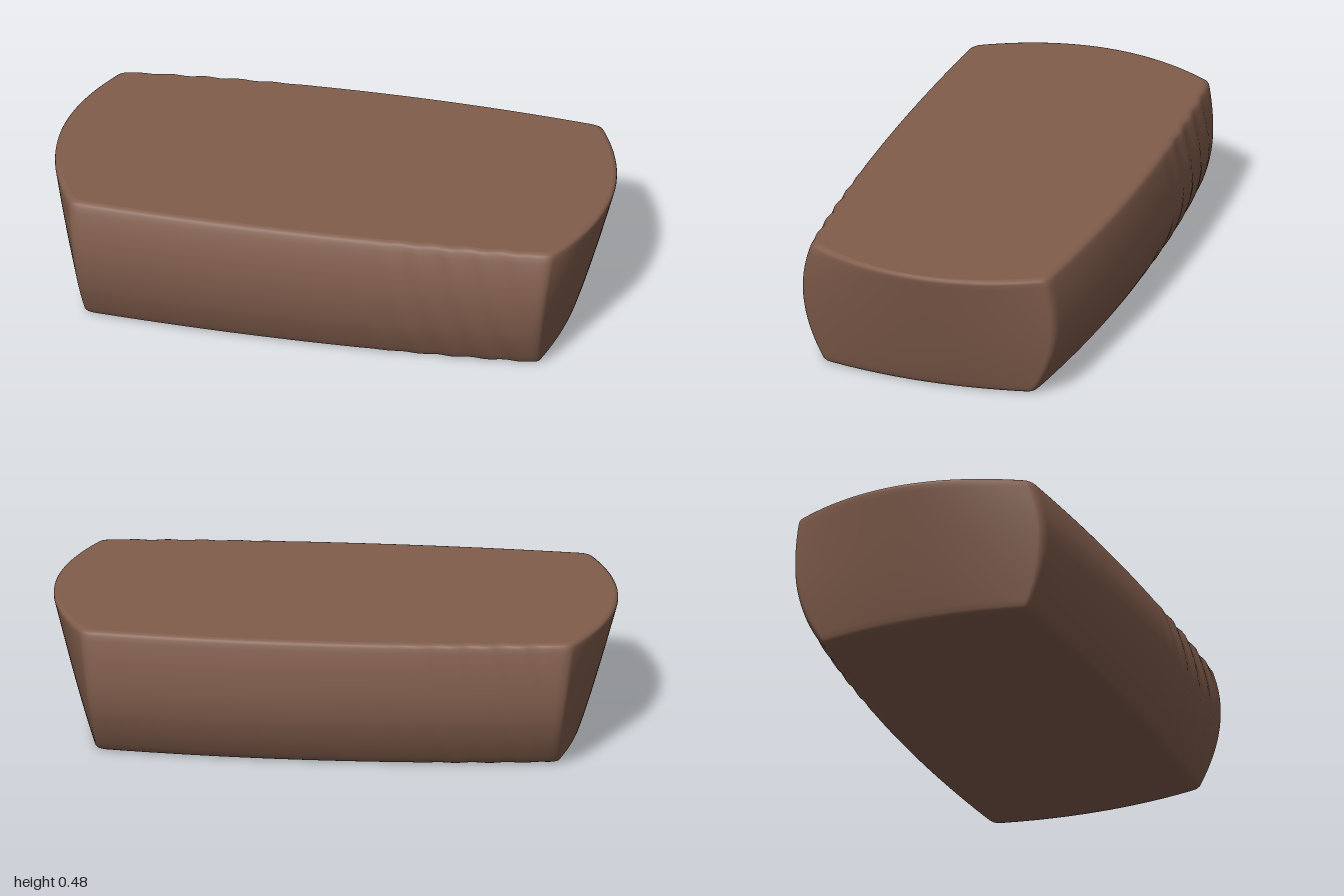
import * as THREE from 'three';

const H = 0.48;      // block height
const SIDE = 90;     // samples along each wall
const CORNER = 6;    // samples round each corner
const ROUND = 0.02;  // share of a wall used by the corner rounding

// Wall points at height y, t from 0 to 1, counterclockwise seen from above
function walls(y, inset) {
  const k = y / H;
  const low = ((0.28 - Math.min(y, 0.28)) / 0.28) ** 2;
  const high = ((Math.max(y, 0.28) - 0.28) / 0.2) ** 2;
  const front = 0.52 - 0.075 * low - 0.042 * high - inset;
  const back = 0.515 - 0.095 * low - 0.025 * high - inset;
  const endX = 0.86 + 0.14 * Math.pow(k, 0.9) - inset;
  const cornerX = 0.815 + 0.05 * k - inset;
  const frontZ = front - 0.035, backZ = back - 0.05;
  const bow = s => 1 - s * s;
  // Shallow tool ripples, fading in toward one end of the wall
  const ripple = (x, dir) => {
    const fade = THREE.MathUtils.smoothstep(x * dir, 0.1, 0.5) * (1 - THREE.MathUtils.smoothstep(x * dir, 0.72, 0.84));
    return 0.004 * fade * Math.sin(52 * x * dir + 14 * y);
  };
  const end = (t, dir) => {
    const s = 2 * t - 1;
    const z = THREE.MathUtils.lerp(frontZ, -backZ, dir > 0 ? t : 1 - t);
    return [dir * (cornerX + (endX - cornerX) * bow(s)), z];
  };
  return [
    t => {
      const s = 2 * t - 1, x = s * cornerX;
      return [x, frontZ + (front - frontZ) * bow(s) + ripple(x, 1)];
    },
    t => end(t, 1),
    t => {
      const s = 1 - 2 * t, x = s * cornerX;
      return [x, -backZ - (back - backZ) * bow(s) + ripple(x, -1)];
    },
    t => end(t, -1),
  ];
}

// Closed outline with softened corners
function outline(y, inset) {
  const w = walls(y, inset), pts = [];
  w.forEach((wall, i) => {
    for (let j = 0; j <= SIDE; j++) pts.push(wall(ROUND + (1 - 2 * ROUND) * j / SIDE));
    const a = wall(1 - ROUND), c = wall(1), b = w[(i + 1) % 4](ROUND);
    for (let j = 1; j < CORNER; j++) {
      const t = j / CORNER, u = 1 - t;
      pts.push([0, 1].map(n => u * u * a[n] + 2 * u * t * c[n] + t * t * b[n]));
    }
  });
  return pts.map(([x, z]) => [x, y, z]);
}

function geometryFrom(points, index) {
  const g = new THREE.BufferGeometry();
  g.setAttribute('position', new THREE.Float32BufferAttribute(points.flat(), 3));
  g.setIndex(index);
  g.computeVertexNormals();
  return g;
}

export function createModel() {
  const group = new THREE.Group();
  group.name = 'block';
  const brown = new THREE.MeshStandardMaterial({ color: 0x815d4c });
  brown.name = 'brown';

  // Rows [height, inset]: rounded rim, wall, rounded rim
  const rows = [[0, 0.016], [0.003, 0.008], [0.008, 0.003], [0.016, 0]];
  for (let i = 1; i < 24; i++) rows.push([0.016 + (H - 0.032) * i / 24, 0]);
  rows.push([H - 0.016, 0], [H - 0.008, 0.003], [H - 0.003, 0.008], [H, 0.016]);
  const rings = rows.map(([y, inset]) => outline(y, inset));
  const n = rings[0].length;

  // Bulging side walls
  const index = [];
  for (let r = 0; r < rings.length - 1; r++) {
    for (let i = 0; i < n; i++) {
      const a = r * n + i, b = r * n + (i + 1) % n;
      index.push(a, b, b + n, a, b + n, a + n);
    }
  }
  const wall = new THREE.Mesh(geometryFrom(rings.flat(), index), brown);
  wall.name = 'sideWalls';
  group.add(wall);

  // Flat top and underside
  const cap = (name, ring, y, up) => {
    const idx = [];
    for (let i = 0; i < n; i++) {
      const j = (i + 1) % n;
      idx.push(n, up ? i : j, up ? j : i);
    }
    const mesh = new THREE.Mesh(geometryFrom([...ring, [0, y, 0]], idx), brown);
    mesh.name = name;
    group.add(mesh);
  };
  cap('topFace', rings[rings.length - 1], H, true);
  cap('underside', rings[0], 0, false);
  return group;
}
